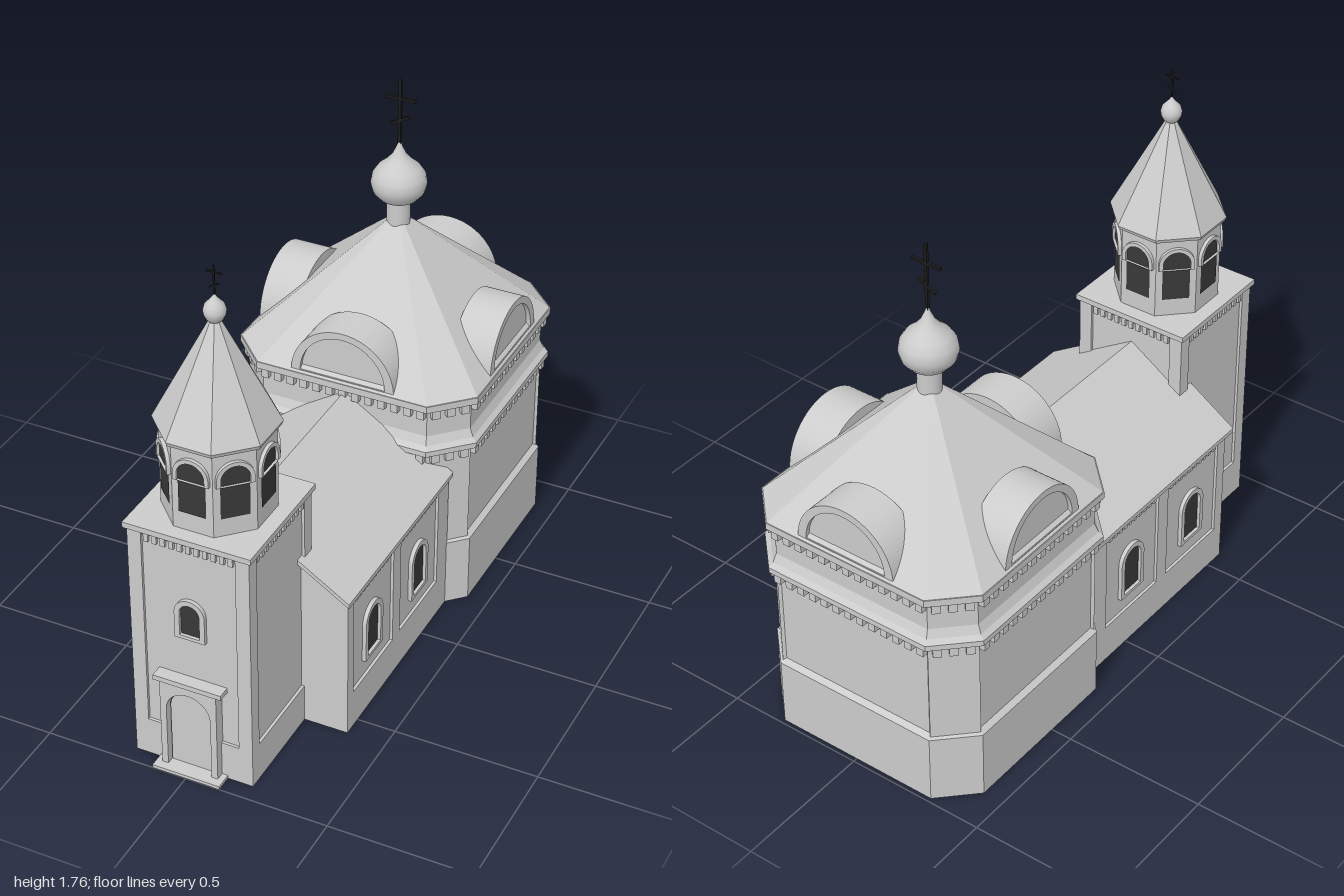
import * as THREE from 'three';

const stone = new THREE.MeshStandardMaterial({ color: 0xcccccc });
stone.name = 'stone grey';
const glass = new THREE.MeshStandardMaterial({ color: 0x383838 });
glass.name = 'dark glass';
const iron = new THREE.MeshStandardMaterial({ color: 0x1c1c1c });
iron.name = 'black iron';

const HALL_Z = -0.56, TOWER_Z = 0.73;

function add(parent, name, geo, mat, x = 0, y = 0, z = 0) {
  const m = new THREE.Mesh(geo, mat);
  m.name = name;
  m.position.set(x, y, z);
  parent.add(m);
  return m;
}
const box = (p, name, w, h, d, x, y, z, mat = stone) =>
  add(p, name, new THREE.BoxGeometry(w, h, d), mat, x, y, z);

// Group on a wall plane: local +z points outwards
function face(parent, name, angle, dist, cz) {
  const g = new THREE.Group();
  g.name = name;
  g.position.set(Math.sin(angle) * dist, 0, cz + Math.cos(angle) * dist);
  g.rotation.y = angle;
  parent.add(g);
  return g;
}

function poly(points, Type = THREE.Shape) {
  return new Type(points.map(([x, y]) => new THREE.Vector2(x, y)));
}
const rect = (x0, y0, x1, y1, Type) => poly([[x0, y0], [x1, y0], [x1, y1], [x0, y1]], Type);

// Round-headed opening: half width w, bottom y0, crown y1
function arch(w, y0, y1, Type = THREE.Shape, cx = 0) {
  const s = new Type();
  s.moveTo(cx - w, y0);
  s.lineTo(cx + w, y0);
  s.lineTo(cx + w, y1 - w);
  s.absarc(cx, y1 - w, w, 0, Math.PI, false);
  s.closePath();
  return s;
}

const extrude = (shape, depth, holes = []) => {
  shape.holes.push(...holes);
  return new THREE.ExtrudeGeometry(shape, { depth, bevelEnabled: false, curveSegments: 20 });
};

function flat(geo) {
  const g = geo.toNonIndexed();
  g.computeVertexNormals();
  return g;
}

// Loft through chamfered squares: [half width, half length of flat side, y]
function chamferLoft(rings) {
  const v = [];
  const loops = rings.map(([a, b, y]) =>
    [[b, a], [a, b], [a, -b], [b, -a], [-b, -a], [-a, -b], [-a, b], [-b, a]].map(([x, z]) => [x, y, z]));
  for (let i = 0; i < loops.length - 1; i++) {
    for (let j = 0; j < 8; j++) {
      const k = (j + 1) % 8, A = loops[i], B = loops[i + 1];
      v.push(...A[j], ...A[k], ...B[k], ...A[j], ...B[k], ...B[j]);
    }
  }
  const lo = loops[0], hi = loops[loops.length - 1];
  for (let j = 1; j < 7; j++) {
    v.push(...lo[0], ...lo[j + 1], ...lo[j], ...hi[0], ...hi[j], ...hi[j + 1]);
  }
  const g = new THREE.BufferGeometry();
  g.setAttribute('position', new THREE.Float32BufferAttribute(v, 3));
  g.computeVertexNormals();
  return g;
}

// Eight-sided prism or spire, sized by its flat-to-centre distance
function octagon(top, bottom, h) {
  const k = 1 / Math.cos(Math.PI / 8);
  return flat(new THREE.CylinderGeometry(top * k, bottom * k, h, 8).rotateY(Math.PI / 8));
}

function dentils(p, width, count, y, h, depth, cx = 0, fill = 0.55) {
  const step = width / count;
  for (let i = 0; i < count; i++) {
    box(p, 'dentil', step * fill, h, depth, cx - width / 2 + step * (i + 0.5), y, depth / 2);
  }
}

function archedWindow(p, x, y0, y1, w, trim, depth) {
  add(p, 'windowPane', new THREE.ShapeGeometry(arch(w, y0, y1), 16), glass, x, 0, 0.003);
  add(p, 'windowSurround',
    extrude(arch(w + trim, y0 - trim * 0.7, y1 + trim), depth, [arch(w, y0, y1, THREE.Path)]), stone, x, 0, 0);
}

function lathe(p, name, pts, x, z) {
  return add(p, name, new THREE.LatheGeometry(pts.map(([r, y]) => new THREE.Vector2(r, y)), 28), stone, x, 0, z);
}

function cross(p, name, y0, y1, z, t, arm, armY, slant, slantY) {
  const g = new THREE.Group();
  g.name = name;
  p.add(g);
  box(g, 'crossPost', t, y1 - y0, t, 0, (y0 + y1) / 2, z, iron);
  box(g, 'crossArm', arm * 2, t, t, 0, armY, z, iron);
  box(g, 'crossSlantedArm', slant * 2, t, t, 0, slantY, z, iron).rotation.z = 0.5;
}

function buildHall(root) {
  const g = new THREE.Group();
  g.name = 'mainHall';
  root.add(g);
  add(g, 'hallWalls', chamferLoft([
    [0.425, 0.305, 0], [0.425, 0.305, 0.25], [0.407, 0.3, 0.265], [0.407, 0.3, 0.635],
    [0.44, 0.313, 0.635], [0.44, 0.313, 0.655], [0.425, 0.307, 0.67], [0.412, 0.302, 0.7],
    [0.412, 0.302, 0.81], [0.44, 0.313, 0.81], [0.44, 0.313, 0.835],
  ]), stone, 0, 0, HALL_Z);
  add(g, 'hallRoof', chamferLoft([[0.437, 0.311, 0.835], [0.03, 0.021, 1.24]]), stone, 0, 0, HALL_Z);

  for (let i = 0; i < 8; i++) {
    const corner = i % 2 === 1, angle = i * Math.PI / 4;
    const f = face(g, corner ? 'hallCorner' : 'hallSide', angle, corner ? 0.502 : 0.409, HALL_Z);
    const width = corner ? 0.155 : 0.62, count = corner ? 3 : 13;
    dentils(f, width, count, 0.62, 0.04, 0.024);
    dentils(f, width, count, 0.793, 0.036, 0.024);
    if (corner) {
      box(f, 'cornerPier', 0.16, 0.385, 0.016, 0, 0.445, -0.002);
    } else {
      // Arched gable set into the roof
      const d = face(g, 'roofGable', angle, 0.43, HALL_Z);
      const half = arch(0.188, 0.836, 1.025);
      add(d, 'gableBarrel', extrude(half, 0.13), stone, 0, 0, -0.145);
      add(d, 'gableRim', extrude(arch(0.188, 0.836, 1.025), 0.015,
        [arch(0.155, 0.845, 1.0, THREE.Path)]), stone, 0, 0, -0.015);
    }
  }
  // Drum, onion dome and cross
  add(g, 'domeDrum', new THREE.CylinderGeometry(0.04, 0.04, 0.14, 24), stone, 0, 1.26, HALL_Z);
  lathe(g, 'onionDome', [[0.038, 1.31], [0.065, 1.325], [0.087, 1.35], [0.095, 1.38], [0.09, 1.41],
    [0.072, 1.437], [0.045, 1.46], [0.024, 1.485], [0.01, 1.515], [0, 1.545]], 0, HALL_Z);
  cross(g, 'domeCross', 1.52, 1.76, HALL_Z, 0.01, 0.055, 1.69, 0.037, 1.61);
}

function buildNave(root) {
  const g = new THREE.Group();
  g.name = 'nave';
  root.add(g);
  add(g, 'naveBody', extrude(poly([[-0.355, 0], [0.355, 0], [0.355, 0.54], [0, 0.77], [-0.355, 0.54]]), 0.8),
    stone, 0, 0, -0.225);
  add(g, 'naveRoof', extrude(poly([[-0.38, 0.53], [0, 0.772], [0.38, 0.53], [0.38, 0.546], [0, 0.79],
    [-0.38, 0.546]]), 0.8), stone, 0, 0, -0.2);
  for (const s of [-1, 1]) {
    // Panelled side wall with two windows
    const f = face(g, 'naveSide', s * Math.PI / 2, 0.355, 0);
    const bays = [0.383, 0.03].map(z => -s * z);
    const ends = [-s * 0.575, s * 0.2].sort((a, b) => a - b);
    add(f, 'naveWallPanels', extrude(rect(ends[0], 0, ends[1], 0.535), 0.01,
      bays.map(x => rect(x - 0.148, 0.14, x + 0.148, 0.525, THREE.Path))), stone);
    for (const x of bays) {
      dentils(f, 0.28, 10, 0.511, 0.028, 0.01, x);
      archedWindow(f, x, 0.215, 0.388, 0.046, 0.018, 0.014);
    }
  }
}

function buildTower(root) {
  const g = new THREE.Group();
  g.name = 'bellTower';
  root.add(g);
  box(g, 'towerCore', 0.4, 0.885, 0.4, 0, 0.4425, TOWER_Z);
  box(g, 'towerCornice', 0.44, 0.02, 0.44, 0, 0.895, TOWER_Z);
  for (let i = 0; i < 4; i++) {
    const f = face(g, 'towerSide', i * Math.PI / 2, 0.2, TOWER_Z);
    add(f, 'towerWallPanel', extrude(rect(-0.21, 0, 0.21, 0.886), 0.01,
      [rect(-0.162, 0.14, 0.162, 0.875, THREE.Path)]), stone);
    dentils(f, 0.32, 11, 0.862, 0.028, 0.01);
  }
  const front = face(g, 'entrance', 0, 0.2, TOWER_Z);
  archedWindow(front, 0, 0.53, 0.65, 0.035, 0.018, 0.014);
  // Doorway
  add(front, 'doorGap', new THREE.ShapeGeometry(arch(0.078, 0, 0.314), 20), glass, 0, 0, 0.012);
  add(front, 'door', new THREE.ShapeGeometry(arch(0.075, 0, 0.307), 20), stone, 0, 0, 0.014);
  add(front, 'doorSurround', extrude(rect(-0.1, 0, 0.1, 0.345), 0.04,
    [arch(0.078, 0.001, 0.314, THREE.Path)]), stone);
  box(front, 'doorCornice', 0.24, 0.018, 0.045, 0, 0.353, 0.0225);
  box(front, 'doorStep', 0.24, 0.012, 0.07, 0, 0.006, 0.035);

  // Octagonal belfry
  add(g, 'belfryWalls', octagon(0.168, 0.168, 0.32), stone, 0, 1.06, TOWER_Z);
  for (let i = 0; i < 8; i++) {
    const f = face(g, 'belfryBay', i * Math.PI / 4, 0.168, TOWER_Z);
    add(f, 'belfryOpening', new THREE.ShapeGeometry(arch(0.047, 0.97, 1.16), 16), glass, 0, 0, 0.003);
    add(f, 'belfryArch', extrude(arch(0.061, 1.09, 1.174), 0.012,
      [arch(0.047, 1.0901, 1.16, THREE.Path)]), stone);
  }
  add(g, 'spireEave', octagon(0.185, 0.18, 0.014), stone, 0, 1.212, TOWER_Z);
  add(g, 'spire', octagon(0.014, 0.185, 0.355), stone, 0, 1.3965, TOWER_Z);
  lathe(g, 'spireFinial', [[0.014, 1.56], [0.026, 1.572], [0.034, 1.588], [0.036, 1.602], [0.031, 1.62],
    [0.018, 1.634], [0.008, 1.646], [0, 1.66]], 0, TOWER_Z);
  cross(g, 'spireCross', 1.645, 1.755, TOWER_Z, 0.005, 0.026, 1.73, 0.018, 1.685);
}

export function createModel() {
  const root = new THREE.Group();
  root.name = 'church';
  buildHall(root);
  buildNave(root);
  buildTower(root);
  return root;
}
